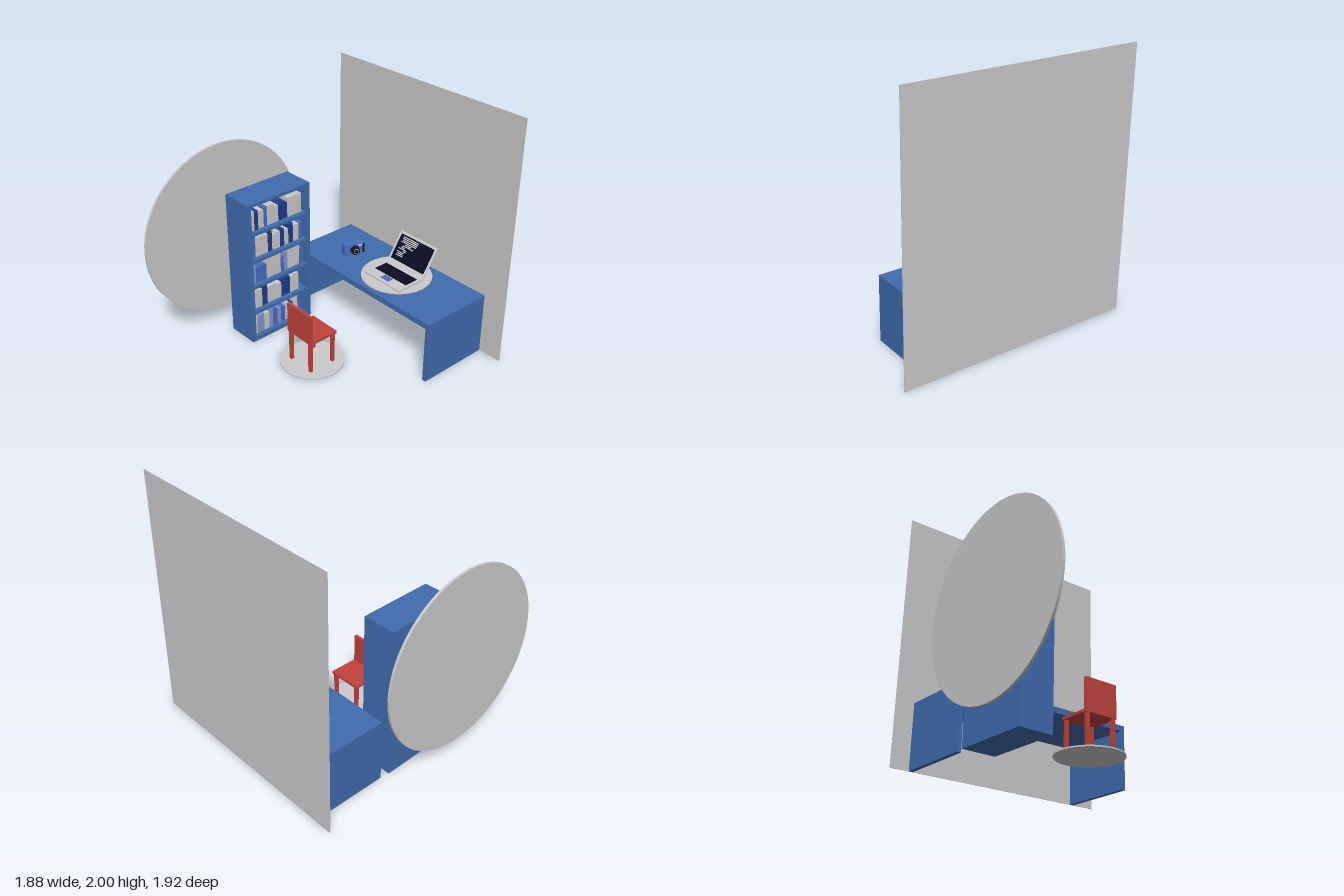
import * as THREE from 'three';

const mat = (name, color) => {
  const m = new THREE.MeshStandardMaterial({ color });
  m.name = name;
  return m;
};

export function createModel() {
  const M = {
    grey: mat('pale grey', 0xcbcbcd),
    blue: mat('furniture blue', 0x416cae),
    red: mat('chair red', 0xc0433d),
    dark: mat('screen dark', 0x0c0c22),
    navy: mat('navy', 0x203d8c),
    mid: mat('mid blue', 0x4a6dc0),
    soft: mat('soft blue', 0x8498ce),
    black: mat('black', 0x17181c),
  };

  const group = (name, parent, x = 0, y = 0, z = 0) => {
    const g = new THREE.Group();
    g.name = name;
    g.position.set(x, y, z);
    parent.add(g);
    return g;
  };
  const add = (parent, name, geo, m, x, y, z) => {
    const mesh = new THREE.Mesh(geo, m);
    mesh.name = name;
    mesh.position.set(x, y, z);
    parent.add(mesh);
    return mesh;
  };
  // Box given by its minimum and maximum on each axis
  const box = (parent, name, m, x0, x1, y0, y1, z0, z1) =>
    add(parent, name, new THREE.BoxGeometry(x1 - x0, y1 - y0, z1 - z0), m,
      (x0 + x1) / 2, (y0 + y1) / 2, (z0 + z1) / 2);
  const disc = (parent, name, m, r, h, x, y, z, sides = 96) =>
    add(parent, name, new THREE.CylinderGeometry(r, r, h, sides), m, x, y, z);

  const root = new THREE.Group();
  root.name = 'homeOffice';

  // Wall panel and the large round panel beside the bookcase
  box(root, 'wall', M.grey, -0.915, 0.94, 0, 2, -0.96, -0.956);
  disc(root, 'roundPanel', M.grey, 0.711, 0.02, -0.935, 0.842, 0.245).rotation.z = Math.PI / 2;

  // Desk
  const desk = group('desk', root);
  box(desk, 'deskTop', M.blue, -0.765, 0.742, 0.46, 0.506, -0.955, -0.345);
  box(desk, 'deskSideLeft', M.blue, 0.709, 0.742, 0, 0.46, -0.955, -0.345);
  box(desk, 'deskSideRight', M.blue, -0.765, -0.732, 0, 0.46, -0.955, -0.345);
  disc(root, 'deskMat', M.grey, 0.28, 0.007, 0.093, 0.5095, -0.66);

  // Laptop base
  const laptop = group('laptop', root, 0.0975, 0.513, 0);
  box(laptop, 'laptopBase', M.grey, -0.198, 0.198, 0, 0.011, -0.75, -0.488);
  box(laptop, 'keyboard', M.dark, -0.17, 0.17, 0.011, 0.013, -0.71, -0.585);
  box(laptop, 'trackpad', M.mid, -0.045, 0.043, 0.011, 0.013, -0.576, -0.52);

  // Laptop lid, tilted back
  const lid = group('laptopLid', laptop, 0, 0.009, -0.746);
  lid.rotation.x = -0.588;
  box(lid, 'lidPanel', M.grey, -0.198, 0.198, 0, 0.27, -0.008, 0);
  box(lid, 'display', M.dark, -0.178, 0.178, 0.036, 0.248, 0, 0.002);
  // Lines on the display: start and length
  [[0, 0.17], [0, 0.165], [0.01, 0.155], [0, 0.16], [0.05, 0.065], [0.03, 0.115],
    [0.02, 0.04], [0, 0.085], [0.055, 0.03], [0, 0.07], [0.01, 0.06], [0, 0.075]]
    .forEach(([s, w], i) => {
      const y = 0.231 - i * 0.0138;
      box(lid, 'displayLine', M.grey, -0.148 + s, -0.148 + s + w, y - 0.0045, y + 0.0045, 0.002, 0.003);
    });

  // Camera on the desk, lens along local +x
  const cam = group('camera', root, -0.39, 0.507, -0.64);
  cam.rotation.y = -0.32;
  box(cam, 'cameraBody', M.mid, -0.027, 0.027, 0, 0.09, -0.088, 0.088);
  const lens = (name, m, r, x0, x1) => {
    disc(cam, name, m, r, x1 - x0, (x0 + x1) / 2, 0.042, 0, 32).rotation.z = Math.PI / 2;
  };
  lens('lensBase', M.black, 0.038, 0.027, 0.038);
  lens('lensBarrel', M.black, 0.033, 0.038, 0.062);
  lens('lensRing', M.grey, 0.022, 0.062, 0.064);
  lens('lensGlass', M.dark, 0.018, 0.064, 0.066);
  box(cam, 'flash', M.grey, 0.027, 0.031, 0.068, 0.084, -0.062, -0.03);
  box(cam, 'cameraGrip', M.black, 0.027, 0.031, 0.004, 0.086, -0.086, -0.072);

  // Bookcase, slightly turned, open towards +x
  const bookcase = group('bookcase', root, -0.635, 0, 0.026);
  bookcase.rotation.y = 0.021;
  const D = 0.133, W = 0.302, H = 1.216;
  for (const s of [-1, 1])
    add(bookcase, 'bookcaseSide', new THREE.BoxGeometry(2 * D, H, 0.033), M.blue, 0, H / 2, s * (W - 0.0165));
  box(bookcase, 'bookcaseBack', M.blue, -D, -D + 0.015, 0, H, -W + 0.033, W - 0.033);
  const shelfTops = [0.968, 0.735, 0.507, 0.275, 0.037];
  for (const y of [H, ...shelfTops])
    box(bookcase, 'shelf', M.blue, -D + 0.015, D, y === 0.037 ? 0 : y - 0.026, y, -W + 0.033, W - 0.033);

  // Books, top row first: colours, widths and heights in 1/190 units
  const spine = { g: M.grey, n: M.navy, b: M.mid, s: M.soft };
  const rows = [
    ['gngbgggnngggg', [10, 7, 10, 6, 7, 7, 7, 9, 8, 9, 6, 6, 6], [31, 30, 28, 31, 31, 31, 26, 25, 25, 31, 31, 31, 31]],
    ['bgggnggngngb', [10, 5, 9, 9, 8, 7, 8, 8, 8, 9, 11, 7], [35, 31, 31, 31, 33, 25, 27, 28, 25, 32, 27, 27]],
    ['sbbgggbsgggb', [9, 9, 11, 8, 8, 11, 6, 7, 9, 6, 8, 7], [28, 25, 25, 35, 33, 36, 25, 31, 37, 35, 35, 26]],
    ['ggngggnngg', [10, 9, 10, 11, 7, 9, 7, 10, 9, 8], [27, 30, 33, 28, 28, 26, 30, 30, 28, 30]],
    ['gssgsbsbgngb', [8, 4, 9, 10, 7, 9, 7, 8, 7, 8, 10, 7], [33, 29, 31, 29, 34, 29, 26, 26, 30, 27, 35, 32]],
  ];
  const u = 1 / 190;
  rows.forEach(([colours, widths, heights], r) => {
    let z = 0.265;
    widths.forEach((w, i) => {
      const y = shelfTops[r];
      box(bookcase, 'book', spine[colours[i]], -0.07, 0.095, y, y + heights[i] * u, z - (w - 0.7) * u, z);
      z -= w * u;
    });
  });

  // Chair on its round mat, facing the desk
  disc(root, 'chairMat', M.grey, 0.247, 0.01, -0.017, 0.005, 0.12);
  const chair = group('chair', root, -0.0175, 0, 0);
  box(chair, 'seat', M.red, -0.136, 0.136, 0.264, 0.285, -0.01, 0.246);
  box(chair, 'backrest', M.red, -0.136, 0.136, 0.285, 0.512, 0.222, 0.246);
  for (const x of [-0.113, 0.113])
    for (const z of [0.013, 0.23])
      box(chair, 'chairLeg', M.red, x - 0.013, x + 0.013, 0.01, 0.264, z - 0.013, z + 0.013);

  return root;
}
